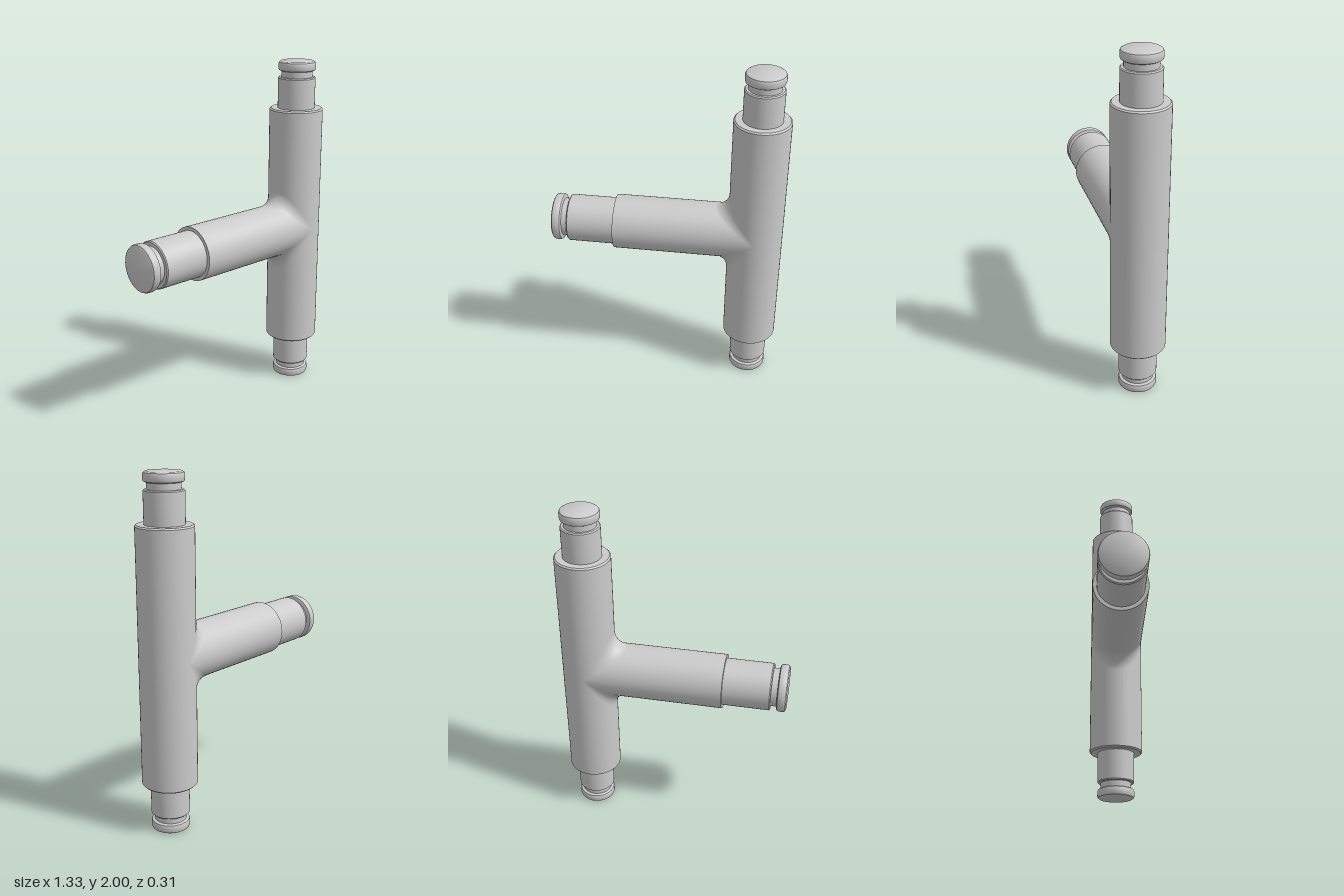
import * as THREE from 'three';
import { toCreasedNormals } from 'three/addons/utils/BufferGeometryUtils.js';

const AXIS_X = 0.506, MID_Y = 1.0, R = 0.157, FILLET = 0.09;
const material = new THREE.MeshStandardMaterial({ color: 0xcccccc });

// Turned part along +y from [radius, height] pairs, lowest first.
function turned(name, profile) {
  const points = profile.map(([r, h]) => new THREE.Vector2(r, h));
  const geometry = toCreasedNormals(new THREE.LatheGeometry(points, 40), 0.6);
  const mesh = new THREE.Mesh(geometry, material);
  mesh.name = name;
  return mesh;
}

// Spigot with a groove and a rounded end cap; starts at height a.
function spigot(name, r, neck, a, shoulder, groove, end) {
  const e = 0.006;
  return turned(name, [
    [r, a], [r, shoulder - e], [r - e, shoulder], [neck, shoulder],
    [neck, groove], [r - 0.012, groove], [r - 0.003, groove + 0.005], [r, groove + 0.013],
    [r, end - 0.015], [r - 0.004, end - 0.006], [r - 0.014, end], [0, end],
  ]);
}

// Rolling-ball fillet between the two equal pipes; side is +1 above, -1 below.
function filletGeometry(side) {
  const along = 48, across = 10;
  const pos = [], nor = [], index = [];
  for (let i = 0; i <= along; i++) {
    const a = (i / along - 0.5) * Math.PI;
    const c = Math.cos(a), s = Math.sin(a);
    const toMain = new THREE.Vector3(c, 0, -s), toBranch = new THREE.Vector3(0, -c, -s);
    const angle = toMain.angleTo(toBranch);
    for (let j = 0; j <= across; j++) {
      const t = j / across;
      const d = new THREE.Vector3();
      if (angle < 1e-4) d.copy(toMain);
      else d.addScaledVector(toMain, Math.sin((1 - t) * angle))
        .addScaledVector(toBranch, Math.sin(t * angle)).normalize();
      const ball = new THREE.Vector3(-c, c, s).multiplyScalar(R + FILLET);
      const p = ball.addScaledVector(d, FILLET);
      pos.push(AXIS_X + p.x, MID_Y + side * p.y, p.z);
      nor.push(-d.x, -side * d.y, -d.z);
      if (i < along && j < across) {
        const k = i * (across + 1) + j, n = k + across + 1;
        if (side > 0) index.push(k, k + 1, n, n, k + 1, n + 1);
        else index.push(k, n, k + 1, n, n + 1, k + 1);
      }
    }
  }
  const geometry = new THREE.BufferGeometry();
  geometry.setAttribute('position', new THREE.Float32BufferAttribute(pos, 3));
  geometry.setAttribute('normal', new THREE.Float32BufferAttribute(nor, 3));
  geometry.setIndex(index);
  return geometry;
}

export function createModel() {
  const model = new THREE.Group();
  model.name = 'teeFitting';

  // Vertical run with slightly eased ends
  const run = new THREE.Group();
  run.name = 'verticalRun';
  run.position.set(AXIS_X, MID_Y, 0);
  const h = 0.728, b = 0.008;
  run.add(turned('runBody', [
    [0, -h], [R - b, -h], [R, -h + b], [R, h - b], [R - b, h], [0, h],
  ]));
  const top = spigot('topSpigot', 0.109, 0.09, h - 0.02, 0.908, 0.944, 1);
  const bottom = spigot('bottomSpigot', 0.109, 0.09, h - 0.02, 0.908, 0.944, 1);
  bottom.rotation.x = Math.PI;
  run.add(top, bottom);

  // Side branch, pointing to -x
  const branch = new THREE.Group();
  branch.name = 'sideBranch';
  branch.position.set(AXIS_X, MID_Y + 0.002, 0);
  branch.rotation.z = Math.PI / 2;
  const length = AXIS_X + 0.303;
  branch.add(
    turned('branchBody', [[R, 0], [R, length], [0, length]]),
    spigot('branchSpigot', 0.136, 0.11, length - 0.02, AXIS_X + 0.577, AXIS_X + 0.612, AXIS_X + 0.667),
  );

  // Blends above and below the branch
  for (const side of [1, -1]) {
    const fillet = new THREE.Mesh(filletGeometry(side), material);
    fillet.name = side > 0 ? 'upperFillet' : 'lowerFillet';
    model.add(fillet);
  }

  model.add(run, branch);
  return model;
}
